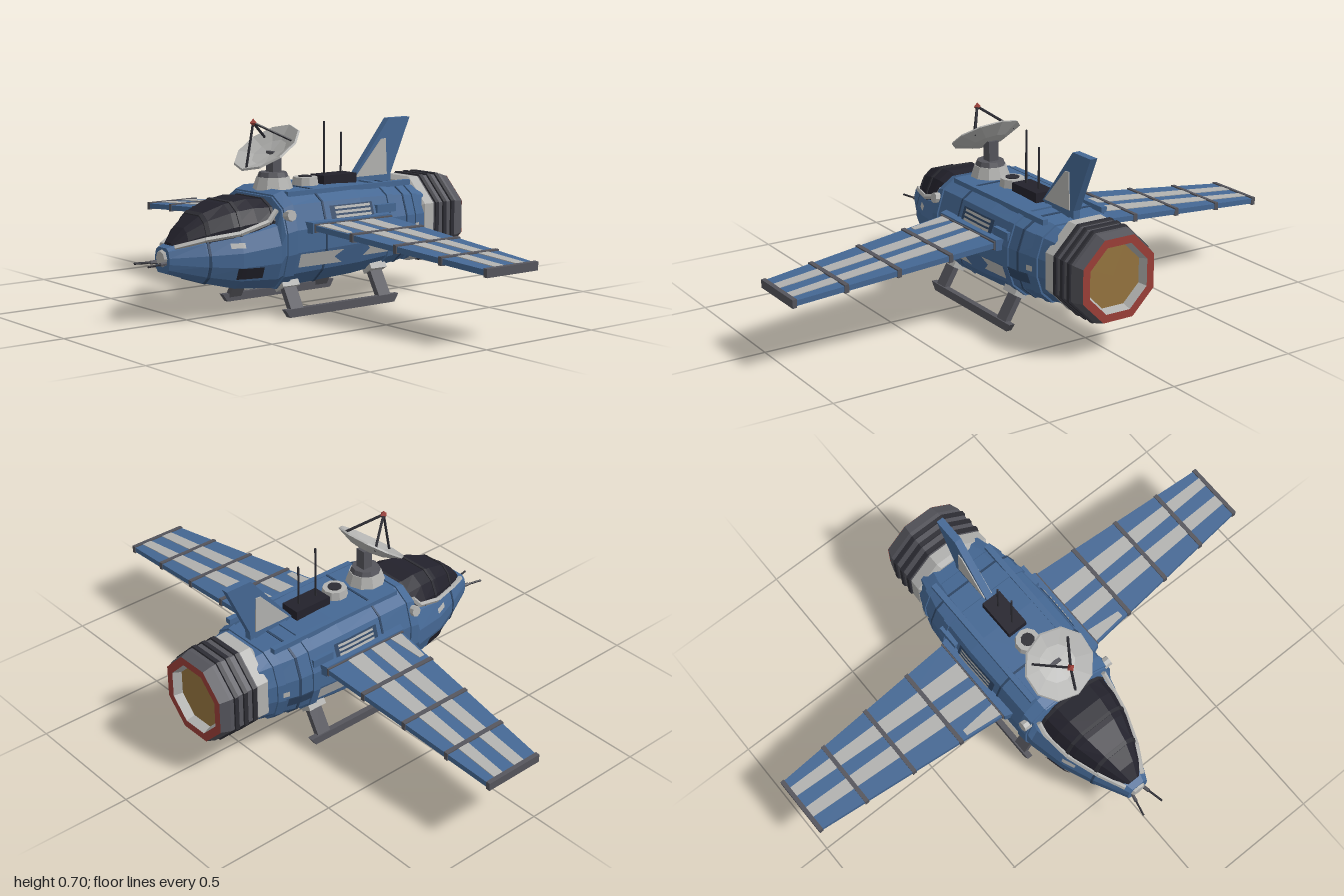
import * as THREE from 'three';

const mat = (name, color) => new THREE.MeshStandardMaterial({ name, color, flatShading: true, side: THREE.DoubleSide });
const V = (x, y, z) => new THREE.Vector3(x, y, z);

// Hull stations: z, half width, bottom, top
const HULL = [
  [0.6, 0.045, 0.18, 0.27], [0.48, 0.105, 0.14, 0.30], [0.36, 0.155, 0.11, 0.325], [0.22, 0.19, 0.10, 0.36],
  [0.205, 0.195, 0.10, 0.425], [0.16, 0.2, 0.10, 0.44], [-0.15, 0.205, 0.115, 0.44], [-0.36, 0.195, 0.135, 0.43], [-0.5, 0.155, 0.15, 0.41],
];
const CANOPY = [
  [0.575, 0.03, 0.25, 0.285], [0.53, 0.06, 0.26, 0.335], [0.46, 0.095, 0.26, 0.383],
  [0.38, 0.125, 0.27, 0.41], [0.29, 0.143, 0.28, 0.422], [0.2, 0.148, 0.29, 0.415],
];
// Half sections from bottom to top: fraction of half width, fraction of height
const HULL_SECTION = [[0.62, 0], [0.88, 0.15], [1, 0.38], [1, 0.62], [0.86, 0.88], [0.56, 1]];
const CANOPY_SECTION = [[1, 0], [1, 0.45], [0.82, 0.8], [0.5, 1]];

function station(rows, z) {
  let i = 0;
  while (i < rows.length - 2 && z < rows[i + 1][0]) i++;
  const t = (z - rows[i][0]) / (rows[i + 1][0] - rows[i][0]);
  return rows[i].map((v, k) => v + (rows[i + 1][k] - v) * t);
}

// Closed loft through stations ordered from nose to tail
function loft(rows, section) {
  const full = [...section, ...[...section].reverse().map(([x, y]) => [-x, y])];
  const n = full.length, pos = [], idx = [];
  for (const [z, w, b, t] of rows) for (const [x, y] of full) pos.push(x * w, b + y * (t - b), z);
  for (let i = 0; i < rows.length - 1; i++) for (let j = 0; j < n; j++) {
    const a = i * n + j, b = i * n + (j + 1) % n;
    idx.push(a, a + n, b + n, a, b + n, b);
  }
  const e = (rows.length - 1) * n;
  for (let j = 1; j < n - 1; j++) idx.push(0, j, j + 1, e, e + j + 1, e + j);
  const g = new THREE.BufferGeometry();
  g.setAttribute('position', new THREE.Float32BufferAttribute(pos, 3));
  g.setIndex(idx);
  g.computeVertexNormals();
  return g;
}

// Collar following the loft between two stations
function collar(rows, section, z0, z1, out) {
  return loft([z0, z1].map(z => {
    const [, w, b, t] = station(rows, z);
    return [z, w + out, b - out, t + out];
  }), section);
}

// Half width of the hull surface at a given z and y
function hullX(z, y) {
  const [, w, b, t] = station(HULL, z), f = (y - b) / (t - b);
  let i = 0;
  while (i < HULL_SECTION.length - 2 && f > HULL_SECTION[i + 1][1]) i++;
  const [p, q] = [HULL_SECTION[i], HULL_SECTION[i + 1]];
  return w * (p[0] + (q[0] - p[0]) * (f - p[1]) / (q[1] - p[1]));
}

// Painted plate on the hull side; notch cuts a V into its rear edge
function plate(s, z0, z1, y0, y1, notch = 0, out = 0.005) {
  const g = new THREE.PlaneGeometry(1, 1, 6, 8), p = g.attributes.position;
  for (let i = 0; i < p.count; i++) {
    const u = p.getX(i) + 0.5, v = p.getY(i) + 0.5;
    const end = z1 + notch * (1 - Math.abs(2 * v - 1));
    const z = z0 + (end - z0) * u, y = y0 + (y1 - y0) * v;
    p.setXYZ(i, s * (hullX(z, y) + out), y, z);
  }
  // Keep the winding outward on either side
  if (s < 0) g.setIndex([...g.index.array].reverse());
  g.computeVertexNormals();
  return g;
}

// Spanwise wing slab between x0 and x1; front and rear edges given at both ends
function wingSlab(s, x0, x1, front, rear, thick) {
  const g = new THREE.BoxGeometry(1, 1, 1), p = g.attributes.position;
  for (let i = 0; i < p.count; i++) {
    const u = s * p.getX(i) + 0.5, x = x0 + (x1 - x0) * u, k = p.getZ(i) > 0 ? front : rear;
    p.setXYZ(i, s * x, 0.318 - 0.065 * (x - 0.2) / 0.8 + p.getY(i) * thick, k[0] + (k[1] - k[0]) * u);
  }
  g.computeVertexNormals();
  return g;
}

// Eight-sided ring along z; points are [flat radius, z] from rear to front
function engineRing(points) {
  return new THREE.LatheGeometry(points.map(([r, z]) => new THREE.Vector2(r / Math.cos(Math.PI / 8), z)), 8, Math.PI / 8)
    .rotateX(Math.PI / 2).translate(0, 0.28, 0);
}

function rod(a, b, r, sides = 6) {
  const d = b.clone().sub(a), g = new THREE.CylinderGeometry(r, r, d.length(), sides);
  g.applyQuaternion(new THREE.Quaternion().setFromUnitVectors(V(0, 1, 0), d.normalize()));
  return g.translate((a.x + b.x) / 2, (a.y + b.y) / 2, (a.z + b.z) / 2);
}
const box = (w, h, d, x, y, z) => new THREE.BoxGeometry(w, h, d).translate(x, y, z);
const can = (r0, r1, h, x, y, z, n = 10) => new THREE.CylinderGeometry(r0, r1, h, n).translate(x, y, z);

// Vertical profile in (z, y) given a thickness in x
function profile(points, thick) {
  const shape = new THREE.Shape(points.map(([z, y]) => new THREE.Vector2(z, y)));
  return new THREE.ExtrudeGeometry(shape, { depth: thick, bevelEnabled: false })
    .translate(0, 0, -thick / 2).rotateY(-Math.PI / 2);
}

export function createModel() {
  const root = new THREE.Group();
  const blue = mat('hull blue', 0x456894), navy = mat('panel navy', 0x2f4766), pale = mat('pale grey', 0xb2b2b0);
  const grey = mat('metal grey', 0x55555c), dark = mat('dark metal', 0x2d2d34), glass = mat('canopy glass', 0x23222c);
  const red = mat('red', 0x9c3f38), tan = mat('engine tan', 0x96753f);
  const add = (name, geometry, material) => {
    const m = new THREE.Mesh(geometry, material);
    m.name = name;
    root.add(m);
    return m;
  };

  // Fuselage with collars and spine rails
  add('fuselage', loft(HULL, HULL_SECTION), blue);
  for (const [z0, z1] of [[0.2, 0.16], [-0.28, -0.31], [-0.42, -0.45]]) add('hullCollar', collar(HULL, HULL_SECTION, z0, z1, 0.006), blue);
  for (const z of [0.475, 0.03, -0.36]) add('panelSeam', collar(HULL, HULL_SECTION, z, z - 0.008, 0.003), navy);
  add('noseCap', can(0.026, 0.034, 0.012, 0, 0, 0, 8).rotateX(Math.PI / 2).translate(0, 0.232, 0.603), pale);

  // Canopy and its frames
  add('canopy', loft(CANOPY, CANOPY_SECTION), glass);
  for (const z of [0.475, 0.36, 0.225]) add('canopyFrame', collar(CANOPY, CANOPY_SECTION, z, z - 0.012, 0.004), dark);

  for (const s of [1, -1]) {
    // Canopy sill
    const sill = [[0.575, 0.04, 0.272], [0.48, 0.091, 0.296], [0.36, 0.135, 0.312], [0.25, 0.153, 0.345], [0.215, 0.152, 0.385]];
    for (let i = 0; i < sill.length - 1; i++) {
      const [a, b] = [sill[i], sill[i + 1]];
      add('canopySill', rod(V(s * a[1], a[2], a[0]), V(s * b[1], b[2], b[0]), 0.01, 5), pale);
    }

    // Side markings, vents and hatches
    add('sideMarking', plate(s, 0.145, -0.055, 0.175, 0.225, 0.04), pale);
    add('sideMarking', plate(s, -0.28, -0.15, 0.19, 0.24, -0.03), pale);
    add('noseMarking', plate(s, 0.4, 0.35, 0.262, 0.28), pale);
    add('sideIntake', plate(s, 0.38, 0.285, 0.15, 0.19), glass);
    add('ventPanel', plate(s, 0, -0.2, 0.335, 0.385, 0, 0.005), navy);
    for (const y of [0.34, 0.356, 0.372]) add('ventSlat', plate(s, -0.02, -0.185, y, y + 0.009, 0, 0.009), pale);
    add('rearHatch', plate(s, -0.31, -0.41, 0.21, 0.25), navy);
    add('rearMarking', plate(s, -0.41, -0.435, 0.265, 0.285, 0, 0.011), pale);
    add('sideLamp', rod(V(s * 0.165, 0.362, 0.185), V(s * 0.205, 0.368, 0.185), 0.02, 8), pale);
    add('spineRail', box(0.022, 0.02, 0.58, s * 0.125, 0.432, -0.14), blue);
    add('shoulderPod', box(0.02, 0.03, 0.09, s * 0.19, 0.355, -0.26), blue);

    // Wing with stripes and ribs
    add('wing', wingSlab(s, 0.19, 0.995, [0.1, 0], [-0.262, -0.23], 0.02), blue);
    add('wingStripe', wingSlab(s, 0.22, 0.995, [-0.1, -0.155], [-0.17, -0.195], 0.025), pale);
    add('wingStripe', wingSlab(s, 0.22, 0.995, [0.005, -0.055], [-0.06, -0.1], 0.025), pale);
    add('wingRootMarking', wingSlab(s, 0.22, 0.37, [0.088, 0.069], [0.035, 0.045], 0.025), pale);
    for (const x of [0.22, 0.4, 0.6, 0.8, 0.992]) {
      const t = (x - 0.19) / 0.805, f = 0.103 - 0.1 * t, r = -0.265 + 0.032 * t;
      add('wingRib', wingSlab(s, x - 0.008, x + 0.008, [f, f], [r, r], 0.03), grey);
    }
    add('wingRootFairing', wingSlab(s, 0.18, 0.222, [0.12, 0.105], [-0.275, -0.265], 0.04), blue);

    // Landing skid with two slanted legs
    add('skid', profile([[0.212, 0.03], [0.19, 0], [-0.3, 0], [-0.32, 0.03]], 0.022).translate(s * 0.19, 0, 0), grey);
    for (const z of [0.155, -0.257]) {
      const leg = box(0.022, 0.15, 0.056, 0, 0, 0).rotateZ(s * 0.53).translate(s * 0.152, 0.083, z);
      add('skidLeg', leg, grey);
      add('legBracket', box(0.05, 0.035, 0.075, 0, 0, 0).rotateZ(s * 0.53).translate(s * 0.133, z > 0 ? 0.11 : 0.13, z), pale);
    }

    // Nose guns
    add('noseGun', rod(V(s * 0.022, 0.216, 0.59), V(s * 0.044, 0.216, 0.688), 0.004), dark);
    add('gunSleeve', rod(V(s * 0.022, 0.216, 0.59), V(s * 0.031, 0.216, 0.63), 0.007), grey);
  }

  // Engine nacelle, nozzle rim and glowing core
  add('engineCollar', engineRing([[0.16, -0.53], [0.162, -0.485], [0.145, -0.468], [0.1, -0.468]]), pale);
  add('engineNacelle', engineRing([[0.148, -0.688], [0.16, -0.65], [0.16, -0.525]]), grey);
  for (const z of [-0.545, -0.585, -0.625]) add('engineBand', engineRing([[0.158, z - 0.01], [0.166, z - 0.008], [0.166, z + 0.008], [0.158, z + 0.01]]), dark);
  add('nozzleRim', engineRing([[0.12, -0.688], [0.149, -0.688]]), red);
  add('nozzleLining', engineRing([[0.108, -0.655], [0.12, -0.688]]), pale);
  add('engineCore', engineRing([[0, -0.656], [0.11, -0.656]]), tan);

  // Tail fin with inset panels
  add('tailFin', profile([[-0.25, 0.445], [-0.43, 0.665], [-0.535, 0.665], [-0.44, 0.455], [-0.44, 0.41], [-0.3, 0.42]], 0.028), blue);
  add('finPanel', profile([[-0.265, 0.452], [-0.39, 0.588], [-0.412, 0.59], [-0.418, 0.452]], 0.036), pale);

  // Dish mount
  add('dishBase', can(0.06, 0.075, 0.045, 0, 0.46, 0.115), pale);
  add('dishTurntable', can(0.05, 0.058, 0.02, 0, 0.49, 0.115), grey);
  add('dishPost', box(0.04, 0.09, 0.04, 0, 0.53, 0.11), grey);

  // Tilted dish, struts and feed
  const dish = new THREE.LatheGeometry([[0, -0.034], [0.07, -0.024], [0.135, 0.004], [0.13, 0.01], [0.07, -0.014], [0, -0.024]]
    .map(([r, y]) => new THREE.Vector2(r, y)), 10);
  add('dish', dish.rotateX(0.6).translate(0, 0.585, 0.14), pale);
  const feed = V(0, 0.683, 0.203);
  for (const p of [V(0, 0.518, 0.235), V(0.085, 0.615, 0.085), V(-0.085, 0.615, 0.085)]) add('feedStrut', rod(p, feed, 0.005), dark);
  add('feed', new THREE.OctahedronGeometry(0.015).translate(feed.x, feed.y, feed.z), red);

  // Roof sensor, equipment box and antennas
  add('roofSensor', can(0.045, 0.05, 0.035, 0, 0.453, -0.035), pale);
  add('sensorLens', can(0.026, 0.026, 0.006, 0, 0.471, -0.035), dark);
  add('equipmentBox', box(0.08, 0.04, 0.155, 0, 0.452, -0.17), glass);
  add('antenna', rod(V(0, 0.46, -0.125), V(0, 0.67, -0.125), 0.004), dark);
  add('antenna', rod(V(0, 0.46, -0.205), V(0, 0.625, -0.205), 0.004), dark);
  return root;
}
